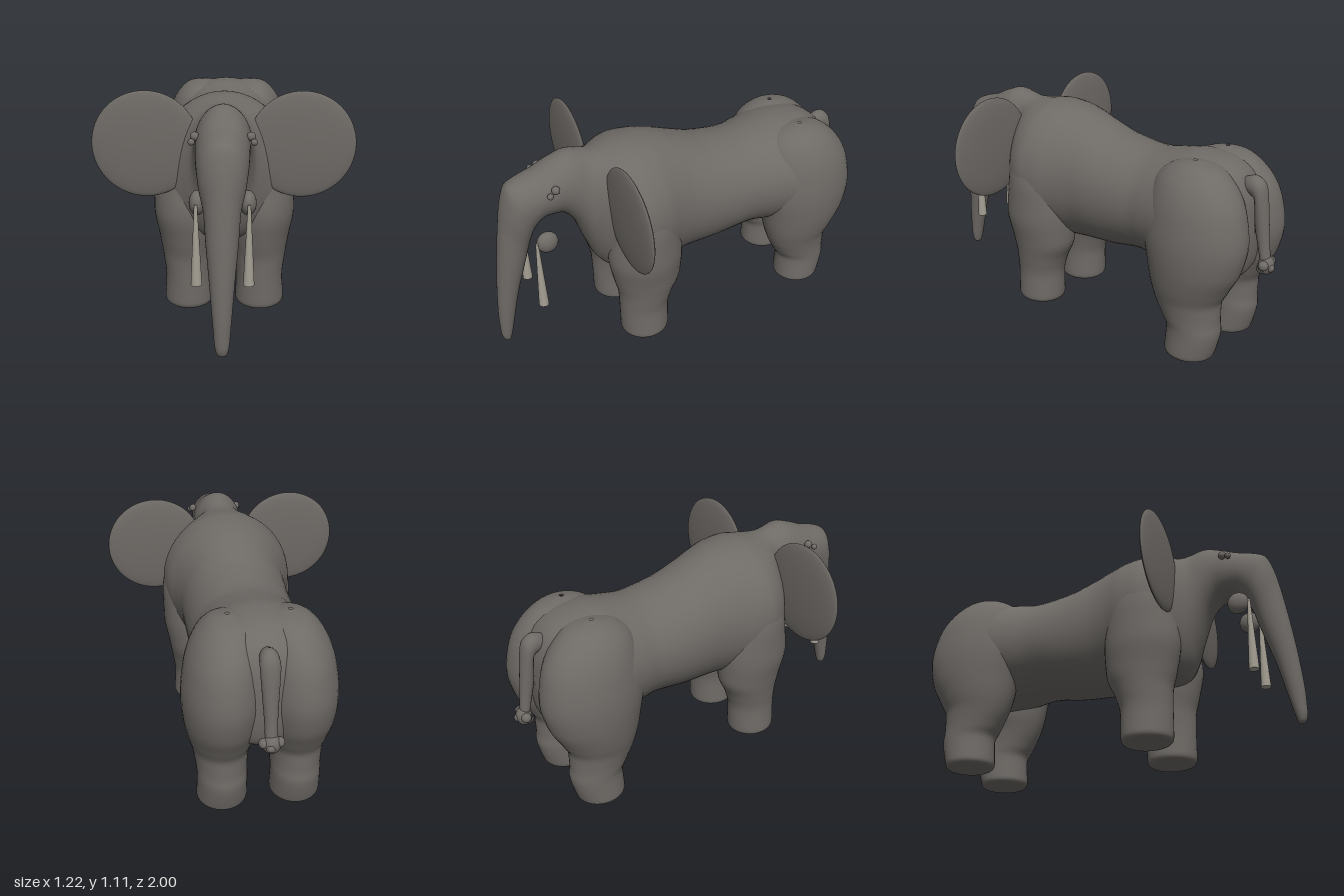
import * as THREE from 'three';

const hide = new THREE.MeshStandardMaterial({ color: 0x6e6a66 });
hide.name = 'grey hide';
const ivory = new THREE.MeshStandardMaterial({ color: 0xa39e92, side: THREE.DoubleSide });
ivory.name = 'dull ivory';

// Smooth interpolation between rows that never overshoots
function sample(rows, k, t) {
  const at = (i) => rows[Math.min(Math.max(i, 0), rows.length - 1)];
  const slope = (a, b) => (a * b > 0 ? (2 * a * b) / (a + b) : 0);
  return rows[0].map((_, c) => {
    const [p0, p1, p2, p3] = [at(k - 1)[c], at(k)[c], at(k + 1)[c], at(k + 2)[c]];
    const m1 = k === 0 ? p2 - p1 : slope(p1 - p0, p2 - p1);
    const m2 = k === rows.length - 2 ? p2 - p1 : slope(p2 - p1, p3 - p2);
    const t2 = t * t, t3 = t2 * t;
    return (2 * t3 - 3 * t2 + 1) * p1 + (t3 - 2 * t2 + t) * m1
      + (3 * t2 - 2 * t3) * p2 + (t3 - t2) * m2;
  });
}

// Skin through oval rings; each row is [z1, y1, z2, y2, halfWidth, centreX]:
// two opposite outline points in the side plane, plus the sideways extent
function loft(rows, sides = 40, steps = 5) {
  const rings = [];
  for (let k = 0; k < rows.length - 1; k++)
    for (let s = 0; s < steps; s++) rings.push(sample(rows, k, s / steps));
  rings.push(rows[rows.length - 1]);

  const pos = [], index = [];
  rings.forEach(([z1, y1, z2, y2, w, cx], i) => {
    for (let j = 0; j < sides; j++) {
      const a = (j / sides) * Math.PI * 2, c = Math.cos(a);
      pos.push(cx + w * Math.sin(a), (y1 + y2) / 2 + (c * (y1 - y2)) / 2, (z1 + z2) / 2 + (c * (z1 - z2)) / 2);
      if (i === rings.length - 1) continue;
      const b = i * sides + j, n = i * sides + ((j + 1) % sides);
      index.push(b, b + sides, n, n, b + sides, n + sides);
    }
  });
  const g = new THREE.BufferGeometry();
  g.setAttribute('position', new THREE.Float32BufferAttribute(pos, 3));
  g.setIndex(index);
  g.computeVertexNormals();
  return g;
}

// Leg rows from top to bottom: [y, zFront, zBack, xInner, xOuter]
function legGeometry(rows, side) {
  return loft(rows.map(([y, zf, zb, xi, xo]) =>
    [zf, y, zb, y, (xo - xi) / 2, (side * (xi + xo)) / 2]));
}

export function createModel() {
  const group = new THREE.Group();
  const add = (name, geometry, material = hide, parent = group) => {
    const m = new THREE.Mesh(geometry, material);
    m.name = name;
    parent.add(m);
    return m;
  };
  const ball = (name, r, x, y, z, parent = group) => {
    const m = add(name, new THREE.SphereGeometry(1, 24, 16), hide, parent);
    m.scale.set(...r);
    m.position.set(x, y, z);
    return m;
  };

  // Torso, neck and head
  const torso = [
    [-0.885, 0.64, -0.885, 0.62, 0.004], [-0.875, 0.76, -0.875, 0.50, 0.09],
    [-0.85, 0.84, -0.85, 0.41, 0.20], [-0.80, 0.905, -0.80, 0.37, 0.28],
    [-0.70, 0.95, -0.70, 0.36, 0.33], [-0.58, 0.96, -0.58, 0.37, 0.325],
    [-0.45, 0.94, -0.45, 0.39, 0.295], [-0.33, 0.925, -0.33, 0.40, 0.272],
    [-0.15, 0.95, -0.15, 0.375, 0.27], [0, 1.0, 0, 0.365, 0.272],
    [0.10, 1.035, 0.10, 0.36, 0.29], [0.20, 1.055, 0.20, 0.36, 0.325],
    [0.28, 1.06, 0.28, 0.36, 0.335], [0.35, 1.052, 0.35, 0.36, 0.315],
    [0.41, 1.045, 0.42, 0.38, 0.26], [0.45, 1.047, 0.47, 0.43, 0.195],
    [0.50, 1.06, 0.515, 0.54, 0.145], [0.57, 1.073, 0.575, 0.70, 0.13],
    [0.65, 1.05, 0.645, 0.765, 0.122], [0.74, 1.012, 0.71, 0.77, 0.118],
  ];
  // Brow flowing down into the trunk
  const trunk = [
    [0.82, 0.99, 0.75, 0.745, 0.115], [0.875, 0.965, 0.77, 0.715, 0.11],
    [0.91, 0.88, 0.79, 0.67, 0.10], [0.935, 0.76, 0.81, 0.60, 0.08],
    [0.96, 0.60, 0.84, 0.50, 0.07], [0.985, 0.40, 0.88, 0.37, 0.055],
    [1.0, 0.20, 0.92, 0.20, 0.04], [1.0, 0.11, 0.945, 0.095, 0.031],
    [0.987, 0.066, 0.955, 0.066, 0.02], [0.972, 0.058, 0.970, 0.058, 0.001],
  ];
  add('bodyHeadAndTrunk', loft([...torso, ...trunk].map((r) => [...r, 0]), 48));

  // Legs, swelling into shoulder and haunch
  const foreleg = [
    [1.01, 0.29, 0.27, 0.14, 0.16], [0.95, 0.36, 0.20, 0.07, 0.24],
    [0.80, 0.42, 0.14, 0.03, 0.315], [0.65, 0.44, 0.10, 0.02, 0.342],
    [0.50, 0.46, 0.08, 0.02, 0.342], [0.36, 0.437, 0.085, 0.03, 0.32],
    [0.25, 0.413, 0.13, 0.05, 0.302], [0.15, 0.41, 0.155, 0.06, 0.29],
    [0.03, 0.408, 0.157, 0.055, 0.296], [0.006, 0.398, 0.167, 0.065, 0.286],
    [0, 0.38, 0.185, 0.083, 0.268], [0, 0.284, 0.282, 0.174, 0.176],
  ];
  const hindleg = [
    [0.955, -0.63, -0.65, 0.13, 0.15], [0.935, -0.54, -0.75, 0.05, 0.22],
    [0.87, -0.46, -0.84, 0.01, 0.285], [0.75, -0.43, -0.91, -0.01, 0.335],
    [0.60, -0.42, -0.935, -0.015, 0.356], [0.47, -0.44, -0.91, 0, 0.35],
    [0.36, -0.46, -0.855, 0.02, 0.33], [0.28, -0.485, -0.82, 0.045, 0.308],
    [0.20, -0.525, -0.82, 0.055, 0.296], [0.14, -0.555, -0.825, 0.057, 0.292],
    [0.03, -0.55, -0.80, 0.055, 0.296], [0.006, -0.56, -0.79, 0.065, 0.286],
    [0, -0.58, -0.77, 0.083, 0.268], [0, -0.674, -0.676, 0.174, 0.176],
  ];

  for (const side of [1, -1]) {
    const label = side > 0 ? 'left' : 'right';
    add(label + 'FrontLeg', legGeometry(foreleg, side));
    add(label + 'HindLeg', legGeometry(hindleg, side));

    // Flat round ear
    const ear = add(label + 'Ear', new THREE.SphereGeometry(1, 48, 32));
    ear.scale.set(0.25, 0.252, 0.028);
    ear.position.set(side * 0.361, 0.853, 0.43);

    // Paired eye beads
    ball(label + 'EyeRear', [0.02, 0.02, 0.02], side * 0.122, 0.957, 0.68);
    ball(label + 'EyeFront', [0.015, 0.015, 0.015], side * 0.135, 0.94, 0.712);

    // Tusk with its round socket, widening downwards
    ball(label + 'TuskSocket', [0.036, 0.055, 0.053], side * 0.111, 0.677, 0.742);
    const tusk = add(label + 'Tusk', new THREE.CylinderGeometry(0.007, 0.025, 0.37, 20), ivory);
    tusk.position.set(side * 0.115, 0.5, 0.795);
  }

  // Tail and its knotted tuft
  const tail = new THREE.Group();
  tail.name = 'tail';
  group.add(tail);
  add('tailStem', loft([
    [-0.80, 0.80, -0.80, 0.87, 0.025, 0], [-0.85, 0.80, -0.87, 0.895, 0.042, 0],
    [-0.88, 0.78, -0.922, 0.86, 0.045, 0], [-0.885, 0.68, -0.952, 0.68, 0.036, 0],
    [-0.91, 0.56, -0.965, 0.56, 0.029, 0], [-0.93, 0.48, -0.975, 0.48, 0.028, 0],
  ], 24), hide, tail);
  ball('tuftCore', [0.042, 0.045, 0.038], 0, 0.477, -0.955, tail);
  ball('tuftTip', [0.026, 0.024, 0.03], 0, 0.452, -0.938, tail);
  ball('tuftKnot', [0.02, 0.02, 0.018], 0.008, 0.472, -0.982, tail);
  for (const side of [1, -1]) ball('tuftLobe', [0.024, 0.024, 0.024], side * 0.034, 0.485, -0.958, tail);

  return group;
}
